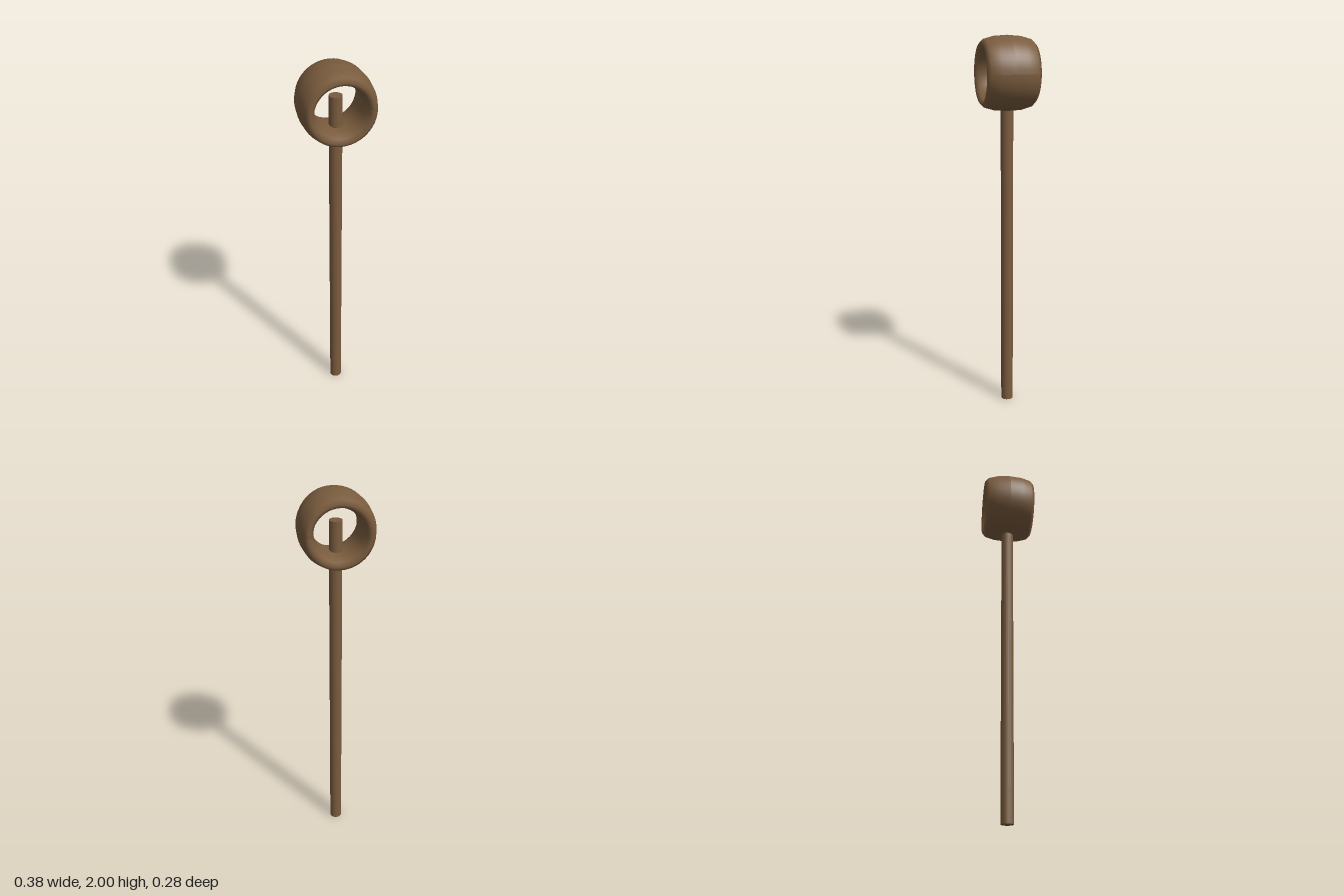
import * as THREE from 'three';

export function createModel() {
  const model = new THREE.Group();
  model.name = 'ringTopStaff';

  const wood = new THREE.MeshStandardMaterial({ color: 0x7a5c3e });
  wood.name = 'brown wood';

  // Straight round shaft, its upper end reaching into the ring
  const shaftHeight = 1.85;
  const shaft = new THREE.Mesh(new THREE.CylinderGeometry(0.033, 0.033, shaftHeight, 16), wood);
  shaft.name = 'shaft';
  shaft.position.y = shaftHeight / 2;
  model.add(shaft);

  // Torus stretched front to back into a barrel-shaped ring
  const tube = 0.038;
  const ringGeometry = new THREE.TorusGeometry(0.151, tube, 12, 48);
  ringGeometry.scale(1, 1, 0.138 / tube);
  ringGeometry.computeVertexNormals(); // keeps the slight seam round the middle
  const ring = new THREE.Mesh(ringGeometry, wood);
  ring.name = 'headRing';
  ring.position.y = 1.811;
  model.add(ring);

  return model;
}
